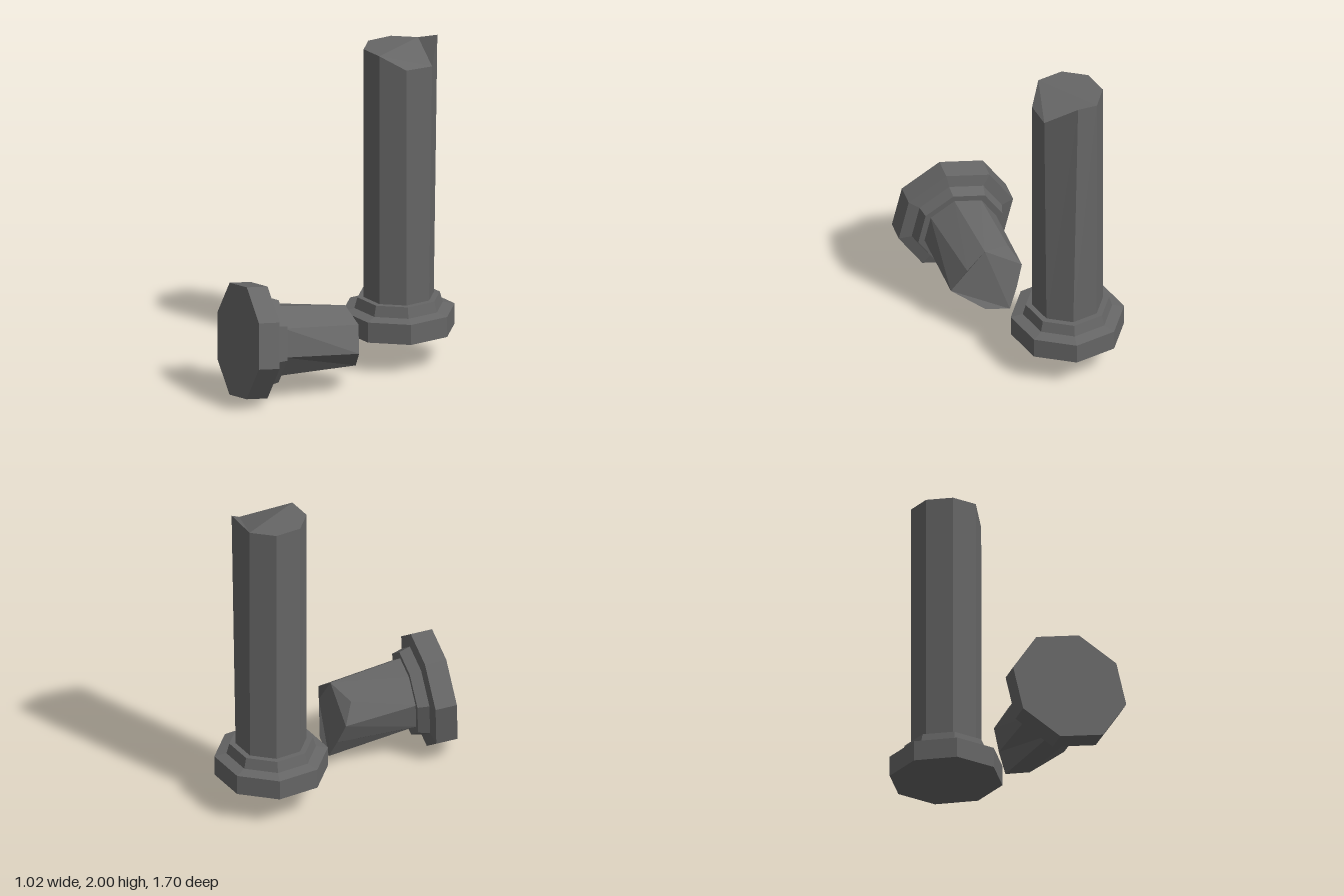
import * as THREE from 'three';

const SIDES = 8;
const stone = new THREE.MeshStandardMaterial({ color: 0x666666, flatShading: true });

// Stepped octagonal foot, standing on its local y = 0
function makeFoot() {
  const profile = [[0, 0], [0.34, 0], [0.34, 0.125], [0.268, 0.14], [0.25, 0.205], [0, 0.205]]
    .map(([r, y]) => new THREE.Vector2(r, y));
  const foot = new THREE.Mesh(new THREE.LatheGeometry(profile, SIDES), stone);
  foot.name = 'foot';
  return foot;
}

// Octagonal shaft rising to a jagged ring of broken corners
function makeShaft(tips) {
  const bottom = tips.map((_, i) => {
    const a = (i / SIDES) * Math.PI * 2;
    return new THREE.Vector3(0.213 * Math.cos(a), 0.2, -0.213 * Math.sin(a));
  });
  const pos = [];
  const tri = (a, b, c) => [a, b, c].forEach((p) => pos.push(p.x, p.y, p.z));
  for (let i = 0; i < SIDES; i++) {
    const j = (i + 1) % SIDES;
    tri(bottom[i], bottom[j], tips[j]);
    tri(bottom[i], tips[j], tips[i]);
  }
  // Break surface: a corner facet at each odd point, then two inner facets
  for (let i = 0; i < SIDES; i += 2) tri(tips[i], tips[i + 1], tips[(i + 2) % SIDES]);
  tri(tips[0], tips[2], tips[6]);
  tri(tips[2], tips[4], tips[6]);
  const geo = new THREE.BufferGeometry();
  geo.setAttribute('position', new THREE.Float32BufferAttribute(pos, 3));
  geo.computeVertexNormals();
  const shaft = new THREE.Mesh(geo, stone);
  shaft.name = 'brokenShaft';
  return shaft;
}

// Column placed by its foot centre, axis and the direction of its first corner
function makeColumn(name, origin, axis, corner, scale, tipPoints) {
  const column = new THREE.Group();
  column.name = name;
  const y = new THREE.Vector3(...axis).normalize();
  const x = new THREE.Vector3(...corner);
  x.addScaledVector(y, -x.dot(y)).normalize();
  const z = new THREE.Vector3().crossVectors(x, y);
  column.quaternion.setFromRotationMatrix(new THREE.Matrix4().makeBasis(x, y, z));
  column.position.set(...origin);
  column.scale.setScalar(scale);
  column.updateMatrixWorld(true);
  const tips = tipPoints.map((p) => column.worldToLocal(new THREE.Vector3(...p)));
  column.add(makeFoot(), makeShaft(tips));
  return column;
}

export function createModel() {
  const model = new THREE.Group();
  model.name = 'brokenColumns';
  model.add(
    makeColumn('standingColumn', [0.18, 0.2, -0.51], [0, 1, 0], [1, 0, 0], 1, [
      [0.415, 1.87, -0.51], [0.333, 2, -0.697], [0.18, 1.95, -0.725], [0.03, 1.95, -0.66],
      [-0.033, 1.95, -0.51], [0.03, 1.95, -0.36], [0.18, 1.95, -0.298], [0.33, 1.87, -0.36],
    ]),
    makeColumn('fallenColumn', [-0.217, 0.367, 0.637], [0.59, -0.08, -0.8], [0.78, -0.19, 0.59], 1.06, [
      [0.36, 0.27, 0.21], [0.235, 0.13, 0.05], [0.105, 0.09, -0.037], [0.04, 0.21, -0.04],
      [-0.02, 0.34, -0.035], [0.005, 0.46, 0.05], [0.185, 0.508, 0.088], [0.305, 0.42, 0.13],
    ]),
  );
  return model;
}
